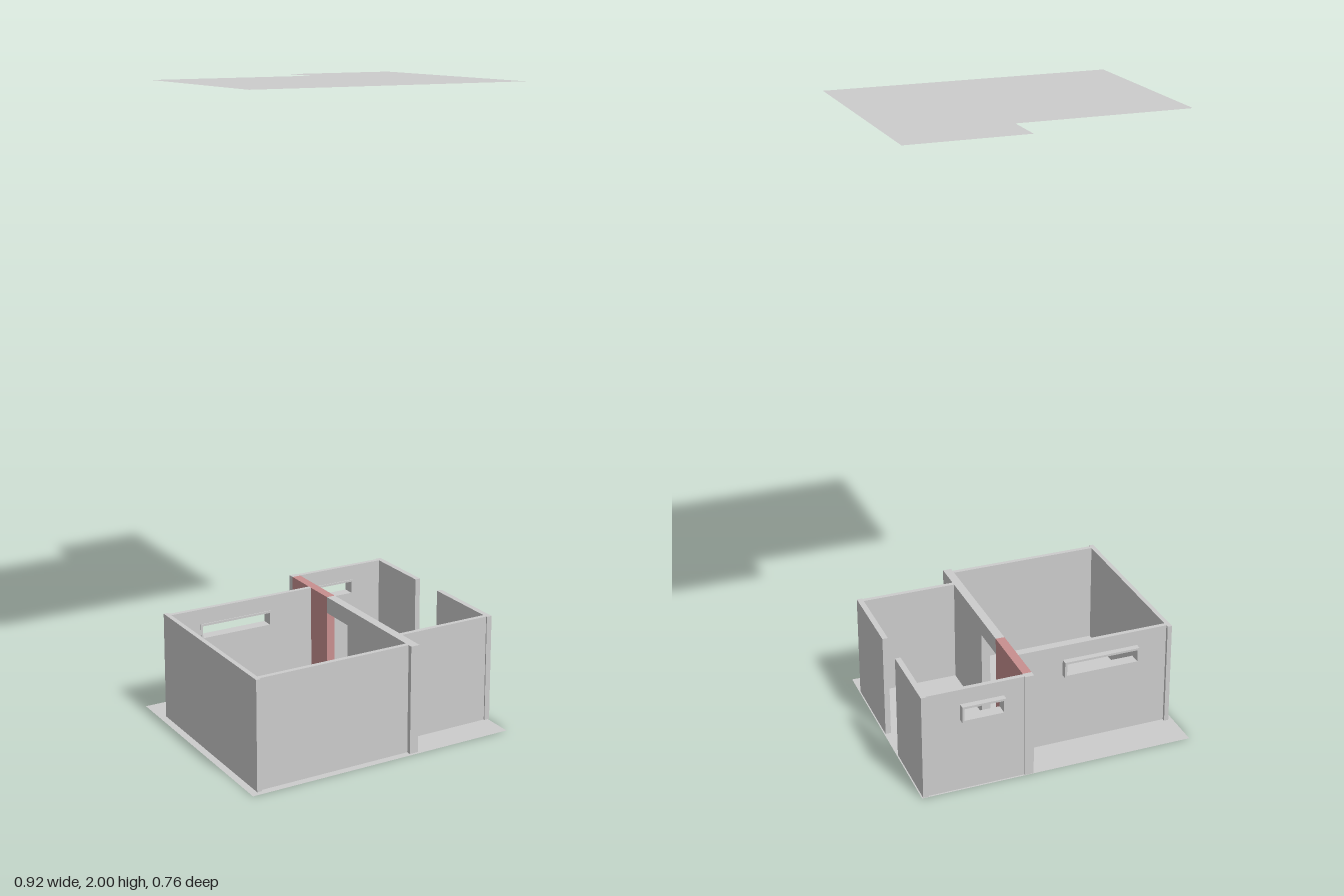
import * as THREE from 'three';

const BASE = 0.005, TOP = 0.352;
const grey = new THREE.MeshStandardMaterial({ color: 0xcccccc, flatShading: true });
const sheet = new THREE.MeshStandardMaterial({ color: 0xcccccc, side: THREE.DoubleSide });
const red = new THREE.MeshStandardMaterial({ color: 0xc88f8f, flatShading: true });

function add(group, name, geometry, material = grey) {
  const mesh = new THREE.Mesh(geometry, material);
  mesh.name = name;
  group.add(mesh);
  return mesh;
}

// Upright slab given by its plan extents
function wall(group, name, x0, x1, z0, z1, y0 = BASE, material = grey) {
  const geo = new THREE.BoxGeometry(x1 - x0, TOP - y0, z1 - z0);
  geo.translate((x0 + x1) / 2, (y0 + TOP) / 2, (z0 + z1) / 2);
  return add(group, name, geo, material);
}

function rect(Type, x0, x1, y0, y1) {
  return new Type([[x0, y0], [x1, y0], [x1, y1], [x0, y1]].map(([x, y]) => new THREE.Vector2(x, y)));
}

// Rectangle with a rectangular hole, extruded along z
function pierced(outer, hole, z0, z1) {
  const shape = rect(THREE.Shape, ...outer);
  shape.holes.push(rect(THREE.Path, ...hole));
  return new THREE.ExtrudeGeometry(shape, { depth: z1 - z0, bevelEnabled: false }).translate(0, 0, z0);
}

// Back wall with a slot window and a frame that stands out behind it
function windowWall(group, name, x0, x1, z, wx0, wx1) {
  const y0 = 0.248, y1 = 0.302, rim = 0.007;
  add(group, name, pierced([x0, x1, BASE, TOP], [wx0, wx1, y0, y1], z, z + 0.015));
  add(group, name + 'WindowFrame', pierced([wx0, wx1, y0, y1],
    [wx0 + rim, wx1 - rim, y0 + rim, y1 - rim], z - 0.02, z + 0.018));
}

// Flat horizontal sheet from plan points [x, z]
function flat(group, name, points, y) {
  const shape = new THREE.Shape(points.map(([x, z]) => new THREE.Vector2(x, -z)));
  add(group, name, new THREE.ShapeGeometry(shape).rotateX(-Math.PI / 2).translate(0, y, 0), sheet);
}

export function createModel() {
  const model = new THREE.Group();
  model.name = 'house';

  // Floor sheet and the L-shaped roof sheet lifted high above it
  flat(model, 'floor', [[-0.459, 0.378], [0.44, 0.378], [0.44, -0.363], [-0.459, -0.363]], 0);
  flat(model, 'roof', [[-0.441, 0.363], [0.457, 0.363], [0.457, -0.38], [0.093, -0.38],
    [0.093, -0.248], [-0.441, -0.248]], 2);

  // Large room
  const large = new THREE.Group();
  large.name = 'largeRoom';
  wall(large, 'sideWall', -0.441, -0.426, -0.248, 0.37);
  wall(large, 'frontWall', -0.426, 0.079, 0.348, 0.363);
  windowWall(large, 'backWall', -0.426, 0.079, -0.238, -0.325, -0.07);

  // Small room, open by a full-height gap in its outer wall
  const small = new THREE.Group();
  small.name = 'smallRoom';
  wall(small, 'frontWall', 0.108, 0.42, 0.268, 0.283);
  wall(small, 'outerWallFront', 0.42, 0.438, 0.008, 0.287);
  wall(small, 'outerWallBack', 0.42, 0.438, -0.368, -0.12);
  windowWall(small, 'backWall', 0.108, 0.42, -0.364, 0.175, 0.315);

  // Partition between the rooms: wall, doorway lintel, red panel, end post
  const partition = new THREE.Group();
  partition.name = 'partition';
  const px = [0.079, 0.108];
  wall(partition, 'partitionWall', ...px, 0.008, 0.378);
  wall(partition, 'doorLintel', ...px, -0.12, 0.008, 0.298);
  wall(partition, 'redPanel', ...px, -0.347, -0.12, BASE, red);
  wall(partition, 'endPost', ...px, -0.368, -0.347);

  model.add(large, small, partition);
  return model;
}
